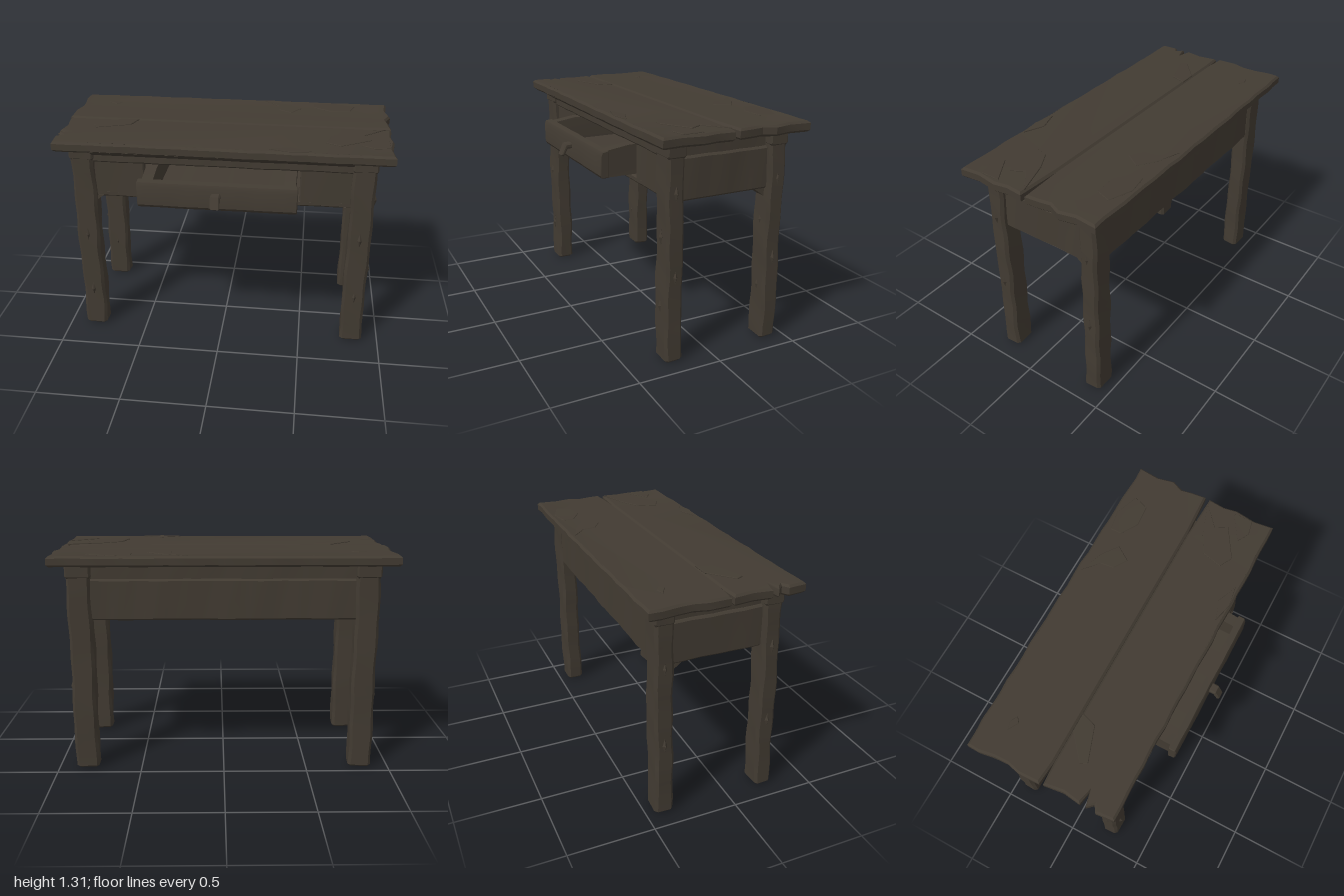
import * as THREE from 'three';
import { toCreasedNormals } from 'three/addons/utils/BufferGeometryUtils.js';

const wood = new THREE.MeshStandardMaterial({ color: 0x423b32 });
wood.name = 'dark old wood';

// Smooth, repeatable waviness for hand-hewn timber
const wave = (a, b, c) =>
  Math.sin(a * 9 + b * 13 + c * 5) * 0.5 + Math.sin(a * 23 - b * 31 + c * 17 + 1.3) * 0.5;

function roughen(geo, amount) {
  const p = geo.attributes.position;
  for (let i = 0; i < p.count; i++) {
    const x = p.getX(i), y = p.getY(i), z = p.getZ(i);
    p.setXYZ(i,
      x + amount * wave(y, z, x),
      y + amount * 0.4 * wave(x, z, y),
      z + amount * wave(y + 2, x, z));
  }
  return toCreasedNormals(geo, 0.45);
}

function add(parent, name, geo) {
  const mesh = new THREE.Mesh(geo, wood);
  mesh.name = name;
  parent.add(mesh);
  return mesh;
}

const shapeOf = pts => new THREE.Shape(pts.map(([x, y]) => new THREE.Vector2(x, y)));

function extrude(pts, depth, bevel, steps = 1) {
  return new THREE.ExtrudeGeometry(shapeOf(pts), {
    depth: depth - 2 * bevel, steps, bevelEnabled: bevel > 0,
    bevelThickness: bevel, bevelSize: bevel, bevelOffset: -bevel, bevelSegments: 1
  }).translate(0, 0, bevel - depth / 2);
}

// Chamfered timber filling the given x, y and z ranges, extruded along its longest axis
function beam(parent, name, [x0, x1], [y0, y1], [z0, z1], rough = 0.004, c = 0.01) {
  const w = x1 - x0, h = y1 - y0, d = z1 - z0, len = Math.max(w, h, d);
  const a = (len === w ? d : w) / 2, b = (len === h ? d : h) / 2;
  const section = [[-a + c, -b], [a - c, -b], [a, -b + c], [a, b - c],
    [a - c, b], [-a + c, b], [-a, b - c], [-a, -b + c]];
  const geo = extrude(section, len, c * 0.8, Math.max(2, Math.round(len * 16)));
  if (len === h) geo.rotateX(-Math.PI / 2);
  else if (len === w) geo.rotateY(Math.PI / 2);
  geo.translate((x0 + x1) / 2, (y0 + y1) / 2, (z0 + z1) / 2);
  return add(parent, name, roughen(geo, rough));
}

// Plate from an [x, z] outline, lying flat between two heights
function plate(parent, name, pts, y0, y1, bevel, rough) {
  const geo = extrude(pts.map(([x, z]) => [x, -z]), y1 - y0, bevel);
  geo.rotateX(-Math.PI / 2).translate(0, (y0 + y1) / 2, 0);
  return add(parent, name, roughen(geo, rough));
}

// Solid from a [z, y] side profile, extruded across x
function profile(parent, name, pts, x0, x1, bevel = 0, rough = 0.002) {
  const geo = extrude(pts.map(([z, y]) => [-z, y]), x1 - x0, bevel, 12);
  geo.rotateY(Math.PI / 2).translate((x0 + x1) / 2, 0, 0);
  return add(parent, name, roughen(geo, rough));
}

// Gently uneven long edge of a plank
function edge(xa, xb, z, n = 24) {
  return Array.from({ length: n + 1 }, (_, i) => {
    const x = xa + (xb - xa) * i / n;
    return [x, z + 0.006 * wave(x, z, x * 3)];
  });
}

function createTop() {
  const top = new THREE.Group();
  top.name = 'tableTop';
  // Two planks with broken ends, meeting at a seam
  plate(top, 'backPlank', [
    ...edge(-0.99, 0.985, -0.525), [0.975, -0.4], [0.995, -0.3], [0.965, -0.23], [0.975, -0.17],
    [0.985, -0.08], [0.72, -0.066], [-0.86, -0.064], [-0.99, -0.075], [-0.995, -0.2],
    [-0.975, -0.28], [-0.98, -0.36], [-0.995, -0.45]
  ], 1.245, 1.306, 0.012, 0.002);
  plate(top, 'frontPlank', [
    [-0.985, -0.055], [-0.86, -0.063], [0.7, -0.064], [0.985, -0.052], [0.975, 0.05], [0.99, 0.13],
    [0.97, 0.25], ...edge(0.985, -0.975, 0.365), [-0.985, 0.26], [-0.95, 0.235], [-0.985, 0.2],
    [-0.9, 0.178], [-0.985, 0.165], [-0.97, 0.06]
  ], 1.242, 1.304, 0.012, 0.002);
  // Lifted flakes of worn surface
  const flakes = [
    [[0.52, -0.48], [0.64, -0.5], [0.78, -0.45], [0.75, -0.36], [0.62, -0.35], [0.52, -0.41]],
    [[0.2, -0.5], [0.34, -0.45], [0.44, -0.38], [0.38, -0.29], [0.3, -0.34], [0.29, -0.42]],
    [[0.6, 0.2], [0.63, 0.08], [0.74, 0.02], [0.95, -0.05], [0.82, 0.06], [0.86, 0.13], [0.68, 0.24]],
    [[0.8, 0.22], [0.96, 0.12], [0.96, 0.24], [0.87, 0.26]],
    [[-0.8, 0.06], [-0.66, -0.06], [-0.55, -0.06], [-0.58, 0.03], [-0.78, 0.1]],
    [[-0.82, -0.37], [-0.77, -0.385], [-0.73, -0.36], [-0.76, -0.335]],
    [[0.28, 0.33], [0.4, 0.29], [0.52, 0.34], [0.4, 0.36]]
  ];
  for (const f of flakes) plate(top, 'surfaceFlake', f, 1.3, 1.309, 0.003, 0.001);
  return top;
}

function createFrame() {
  const frame = new THREE.Group();
  frame.name = 'frame';
  for (const s of [-1, 1]) {
    const span = (a, b) => s > 0 ? [a, b] : [-b, -a];
    // Legs with a slightly wider head
    for (const [name, z0, z1] of [['frontLeg', 0.185, 0.29], ['backLeg', -0.448, -0.342]]) {
      beam(frame, name, span(0.76, 0.897), [0, 1.25], [z0, z1], 0.005, 0.016);
      beam(frame, name + 'Head', span(0.757, 0.902), [1.165, 1.25], [z0 - 0.006, z1 + 0.003], 0.002, 0.012);
      // Splinters standing off the outer faces
      for (const [y, out] of [[0.48, 1], [0.3, 0], [0.7, 0], [0.95, 1]]) {
        const geo = new THREE.OctahedronGeometry(1).scale(0.014, 0.045, 0.014);
        geo.translate(s * (out ? 0.896 : 0.83), y + s * 0.03, out ? (z0 + z1) / 2 : z0 > 0 ? z1 : z1 - 0.005);
        add(frame, 'splinter', geo);
      }
    }
    // Side panel below a recessed rail
    beam(frame, 'sidePanel', span(0.815, 0.865), [0.92, 1.16], [-0.36, 0.2]);
    beam(frame, 'sideRail', span(0.8, 0.845), [1.15, 1.25], [-0.36, 0.2], 0.003);
    beam(frame, 'frontPanel', span(0.46, 0.78), [0.925, 1.16], [0.21, 0.255], 0.003);
    // Small corner braces
    profile(frame, 'cornerBrace', [[-0.27, 0.925], [-0.345, 0.925], [-0.345, 0.87]], ...span(0.78, 0.85));
    const brace = extrude([[0.765, 0.93], [0.72, 0.93], [0.765, 0.895]].map(([x, y]) => [s * x, y]), 0.05, 0);
    add(frame, 'frontBrace', brace.translate(0, 0, 0.235));
  }
  beam(frame, 'frontTopRail', [-0.78, 0.78], [1.15, 1.25], [0.215, 0.27], 0.003);
  beam(frame, 'frontBottomRail', [-0.78, 0.78], [0.922, 0.962], [0.21, 0.255], 0.003);
  beam(frame, 'backPanel', [-0.78, 0.78], [0.92, 1.16], [-0.43, -0.38]);
  beam(frame, 'backRail', [-0.78, 0.78], [1.15, 1.25], [-0.415, -0.37], 0.003);
  beam(frame, 'bottomBoard', [-0.83, 0.83], [0.925, 0.95], [-0.4, 0.23], 0.001, 0.003);
  // Sloping strip under the front overhang
  profile(frame, 'frontMoulding', [[0.25, 1.25], [0.25, 1.2], [0.29, 1.205], [0.36, 1.25]], -0.76, 0.76);
  return frame;
}

function createDrawer() {
  const drawer = new THREE.Group();
  drawer.name = 'drawer';
  profile(drawer, 'drawerFront',
    [[0.42, 0.97], [0.455, 0.968], [0.467, 0.985], [0.467, 1.1], [0.458, 1.122], [0.42, 1.127]],
    -0.463, 0.455, 0.005);
  for (const s of [-1, 1]) {
    const x = [s * 0.375, s * 0.44].sort((a, b) => a - b);
    profile(drawer, 'drawerSide', [[-0.2, 0.968], [0.43, 0.968], [0.43, 1.122], [0.29, 1.142], [-0.2, 1.145]], ...x);
  }
  beam(drawer, 'drawerBack', [-0.4, 0.4], [0.968, 1.14], [-0.22, -0.18], 0.002);
  beam(drawer, 'drawerFloor', [-0.4, 0.4], [0.975, 1.0], [-0.2, 0.43], 0.001, 0.004);
  // Bent peg handle
  profile(drawer, 'handle',
    [[0.455, 1.045], [0.492, 1.045], [0.518, 1.0], [0.536, 1.01], [0.506, 1.075], [0.455, 1.078]],
    -0.035, 0.022, 0.008, 0.001);
  return drawer;
}

export function createModel() {
  const table = new THREE.Group();
  table.name = 'rusticTable';
  table.add(createTop(), createFrame(), createDrawer());
  return table;
}
